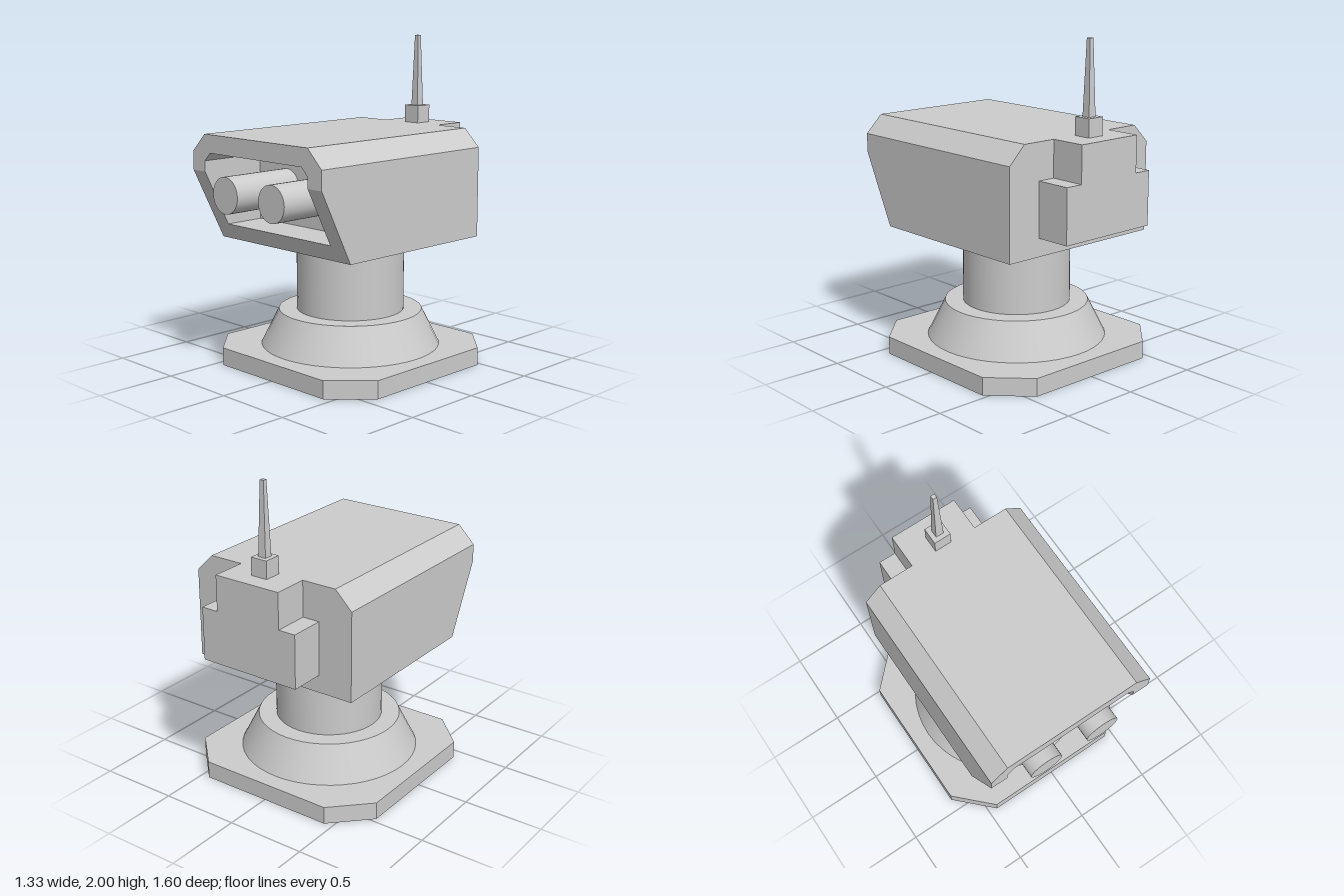
import * as THREE from 'three';

const AXIS_Z = -0.025; // centre of the pedestal
const smooth = new THREE.MeshStandardMaterial({ color: 0xcccccc });
const flat = new THREE.MeshStandardMaterial({ color: 0xcccccc, flatShading: true });

function add(group, name, geometry, material, x = 0, y = 0, z = 0) {
  const mesh = new THREE.Mesh(geometry, material);
  mesh.name = name;
  mesh.position.set(x, y, z);
  group.add(mesh);
  return mesh;
}

// Mirrors a right-hand outline (bottom to top) into a full counter-clockwise loop
function mirrored(half) {
  return [...half, ...half.map(([x, y]) => [-x, y]).reverse()];
}

function extrude(points, depth) {
  const shape = new THREE.Shape(points.map(([x, y]) => new THREE.Vector2(x, y)));
  return new THREE.ExtrudeGeometry(shape, { depth, bevelEnabled: false });
}

// Skins a row of equal-length loops and closes both ends
function loft(rings) {
  const positions = [];
  const n = rings[0].length;
  const tri = (...corners) => corners.forEach((p) => positions.push(...p));
  for (let r = 0; r < rings.length - 1; r++) {
    for (let i = 0; i < n; i++) {
      const j = (i + 1) % n;
      const a = rings[r][i], b = rings[r][j], c = rings[r + 1][j], d = rings[r + 1][i];
      tri(a, b, c);
      tri(a, c, d);
    }
  }
  const first = rings[0], last = rings[rings.length - 1];
  for (let i = 1; i < n - 1; i++) {
    tri(first[0], first[i + 1], first[i]);
    tri(last[0], last[i], last[i + 1]);
  }
  const geometry = new THREE.BufferGeometry();
  geometry.setAttribute('position', new THREE.Float32BufferAttribute(positions, 3));
  geometry.computeVertexNormals();
  return geometry;
}

// Head shell: chamfered box with an undercut front and a recessed opening
function headGeometry() {
  const outer = mirrored([[0.555, 0.78], [0.555, 1.22], [0.555, 1.335], [0.445, 1.445]]);
  const inner = mirrored([[0.445, 0.88], [0.445, 1.22], [0.445, 1.285], [0.395, 1.335]]);
  const frontZ = (y) => 0.75 - 0.5 * Math.max(0, 1.22 - y);
  const atZ = (loop, z) => loop.map(([x, y]) => [x, y, z]);
  const atFront = (loop) => loop.map(([x, y]) => [x, y, frontZ(y)]);
  return loft([atZ(outer, -0.58), atFront(outer), atFront(inner), atZ(inner, 0.32)]);
}

export function createModel() {
  const model = new THREE.Group();
  model.name = 'turret';

  // Pedestal
  const plate = mirrored([[0.445, -0.665], [0.665, -0.445], [0.665, 0.445], [0.445, 0.665]]);
  add(model, 'basePlate', extrude(plate, 0.11).rotateX(-Math.PI / 2), flat, 0, 0, AXIS_Z);
  add(model, 'baseCone', new THREE.CylinderGeometry(0.445, 0.555, 0.22, 48), smooth, 0, 0.22, AXIS_Z);
  add(model, 'column', new THREE.CylinderGeometry(0.333, 0.333, 0.45, 48), smooth, 0, 0.556, AXIS_Z);

  // Head with two barrels in its opening
  add(model, 'head', headGeometry(), flat);
  for (const side of [-1, 1]) {
    const barrel = new THREE.CylinderGeometry(0.11, 0.11, 0.48, 32).rotateX(Math.PI / 2);
    add(model, side > 0 ? 'leftBarrel' : 'rightBarrel', barrel, smooth, side * 0.2, 1.11, 0.56);
  }

  // Stepped housing on the back
  const housing = mirrored([[0.333, 0.89], [0.333, 1.222], [0.222, 1.222], [0.222, 1.445]]);
  add(model, 'rearHousing', extrude(housing, 0.222), flat, 0, 0, -0.802);

  // Antenna
  add(model, 'antennaMount', new THREE.BoxGeometry(0.11, 0.11, 0.11), flat, 0, 1.5, -0.635);
  const mast = new THREE.CylinderGeometry(0.013 * Math.SQRT2, 0.026 * Math.SQRT2, 0.445, 4);
  add(model, 'antennaMast', mast.rotateY(Math.PI / 4), flat, 0, 1.7775, -0.635);

  return model;
}
